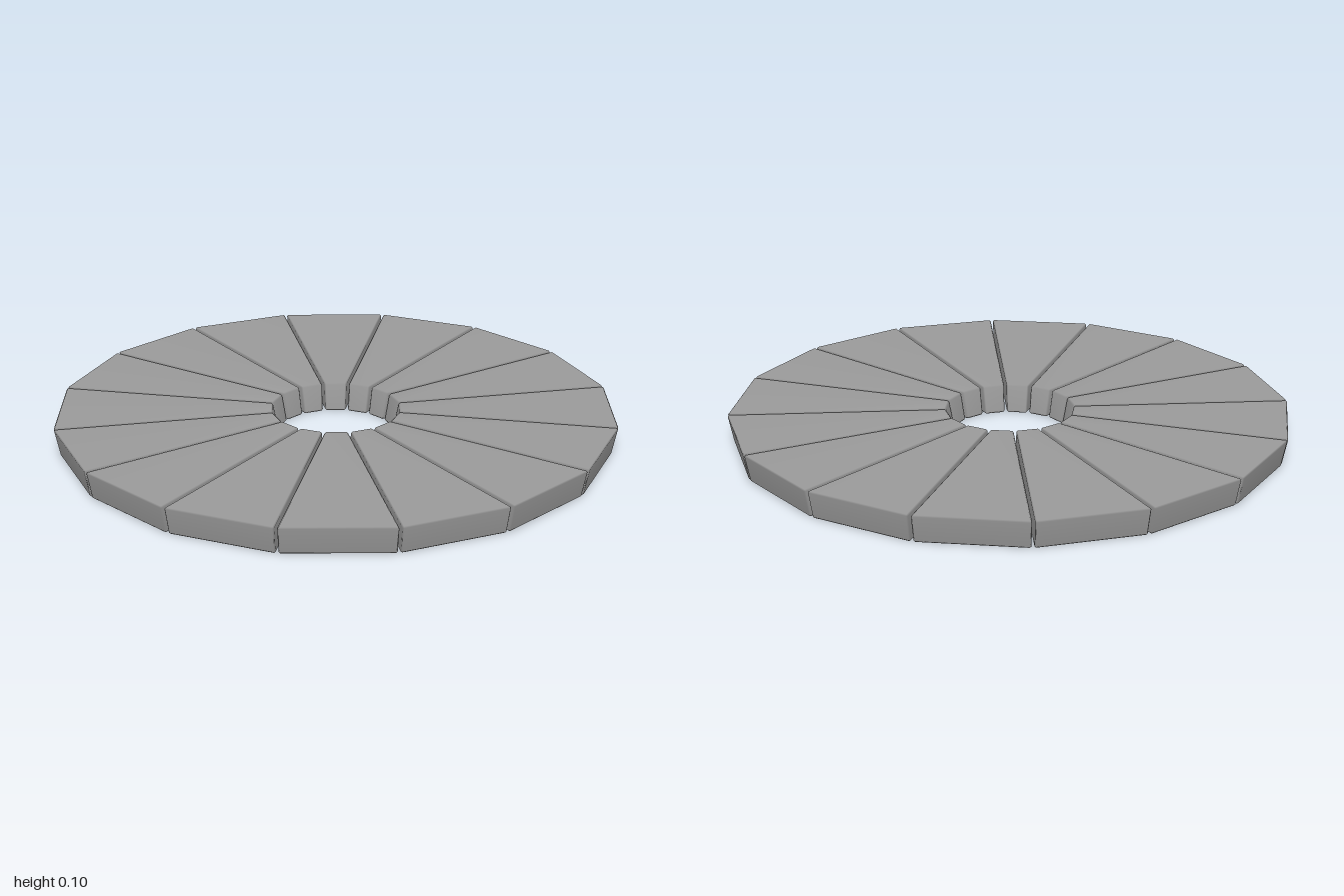
import * as THREE from 'three';
import { mergeVertices } from 'three/addons/utils/BufferGeometryUtils.js';
import { ConvexGeometry } from 'three/addons/geometries/ConvexGeometry.js';

const COUNT = 16;      // wedges around the ring
const HEIGHT = 0.102;
const INNER = 0.23;    // top apothems
const OUTER = 1.001;
const SLANT = 0.02;    // the bottom sits this much closer to the centre
const GAP = 0.005;     // half the slot between neighbours
const BEVEL = 0.005;

// Tapered wedge along +z; each corner is cut into three points, one per face
function wedgeGeometry() {
  const slope = Math.tan(Math.PI / COUNT);
  const points = [];
  for (const sx of [-1, 1]) for (const sy of [-1, 1]) for (const sz of [-1, 1]) {
    for (const face of ['x', 'y', 'z']) {
      const inset = (axis) => (axis === face ? 0 : BEVEL);
      const y = sy > 0 ? HEIGHT - inset('y') : inset('y');
      const z = (sz > 0 ? OUTER : INNER) - SLANT * (1 - y / HEIGHT) - sz * inset('z');
      const x = sx * (z * slope - GAP - inset('x'));
      points.push(new THREE.Vector3(x, y, z));
    }
  }
  // Shared vertices soften the bevels
  const hull = new ConvexGeometry(points);
  hull.deleteAttribute('normal');
  const geometry = mergeVertices(hull);
  geometry.computeVertexNormals();
  return geometry;
}

export function createModel() {
  const ring = new THREE.Group();
  ring.name = 'segmentedRing';
  const material = new THREE.MeshStandardMaterial({ color: 0x9a9a9a });
  const geometry = wedgeGeometry();

  // Wedges spaced evenly around the vertical axis
  for (let i = 0; i < COUNT; i++) {
    const wedge = new THREE.Mesh(geometry, material);
    wedge.name = `wedge${i + 1}`;
    wedge.rotation.y = (i / COUNT) * Math.PI * 2;
    ring.add(wedge);
  }
  return ring;
}
